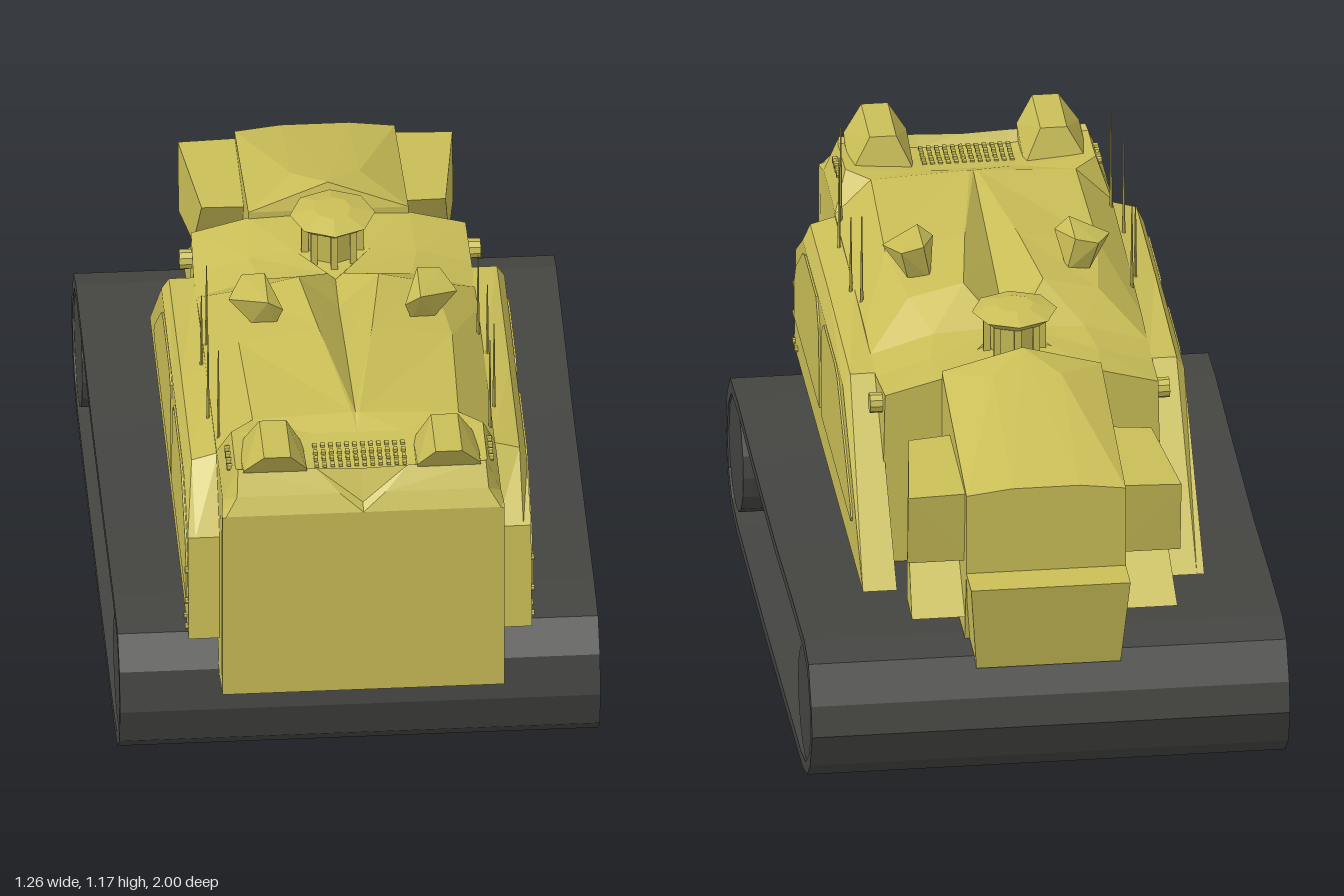
import * as THREE from 'three';
import { ConvexGeometry } from 'three/addons/geometries/ConvexGeometry.js';

const paint = new THREE.MeshStandardMaterial({ color: 0xcabe57 });
paint.name = 'yellowPaint';
const rubber = new THREE.MeshStandardMaterial({ color: 0x444541 });
rubber.name = 'darkRubber';

export function createModel() {
  const model = new THREE.Group();

  const add = (name, geometry, material = paint) => {
    const flat = geometry.index ? geometry.toNonIndexed() : geometry;
    flat.computeVertexNormals();
    const mesh = new THREE.Mesh(flat, material);
    mesh.name = name;
    model.add(mesh);
    return mesh;
  };
  // Side profile of [z, y] points extruded from x0 to x1; a hole winds the other way
  const prism = (points, x0, x1, hole) => {
    const toVec = ([z, y]) => new THREE.Vector2(-z, y);
    const shape = new THREE.Shape(points.map(toVec));
    if (hole) shape.holes.push(new THREE.Path(hole.map(toVec)));
    const lo = Math.min(x0, x1), hi = Math.max(x0, x1);
    return new THREE.ExtrudeGeometry(shape, { depth: hi - lo, bevelEnabled: false })
      .rotateY(Math.PI / 2).translate(lo, 0, 0);
  };
  // Faceted solid around [x, y, z] corners
  const solid = (points, side = 1) =>
    new ConvexGeometry(points.map(([x, y, z]) => new THREE.Vector3(x * side, y, z)));
  const symmetric = (points) => solid(points.flatMap(([x, y, z]) => [[x, y, z], [-x, y, z]]));
  const both = (build) => [['left', 1], ['right', -1]].forEach(([n, s]) => build(n, s));

  // Full-width track belt and its two rollers
  const belt = [
    [0.64, 0.005], [0.77, 0.025], [0.845, 0.09], [0.875, 0.2], [0.85, 0.31], [0.78, 0.385],
    [0.62, 0.395], [0.3, 0.385], [-0.2, 0.38], [-0.55, 0.395], [-0.83, 0.4], [-0.92, 0.375],
    [-0.98, 0.28], [-1, 0.2], [-0.96, 0.1], [-0.89, 0.04], [-0.79, 0.015], [0, 0],
  ];
  const inner = belt.map(([z, y]) => [-0.06 + (z + 0.06) * 0.968, 0.2 + (y - 0.2) * 0.84]).reverse();
  add('trackBelt', prism(belt, -0.63, 0.63, inner), rubber);
  [['frontRoller', 0.69], ['rearRoller', -0.81]].forEach(([name, z]) => {
    add(name, new THREE.CylinderGeometry(0.155, 0.155, 1.25, 16).rotateZ(Math.PI / 2), rubber)
      .position.set(0, 0.21, z);
  });

  // Lower hull between the runs of the belt
  add('lowerHull', prism([[0.6, 0.36], [0.6, 0.155], [-0.72, 0.15], [-0.72, 0.36]], -0.35, 0.35));

  // Upper hull: z, bottom y, centre y, then x and y of groove edge, roof edge and shoulder
  const sections = [
    [1.0, 0.33, 0.89, 0.06, 0.89, 0.36, 0.89, 0.37, 0.885],
    [0.975, 0.325, 0.905, 0.06, 0.935, 0.33, 0.935, 0.37, 0.89],
    [0.935, 0.32, 0.985, 0.12, 0.99, 0.325, 0.995, 0.365, 0.9],
    [0.915, 0.315, 0.96, 0.12, 0.96, 0.33, 0.985, 0.365, 0.9],
    [0.86, 0.305, 0.96, 0.12, 0.96, 0.33, 0.985, 0.365, 0.9],
    [0.83, 0.38, 0.965, 0.12, 0.965, 0.33, 0.985, 0.365, 0.9],
    [0.75, 0.38, 0.975, 0.12, 0.975, 0.33, 0.99, 0.365, 0.9],
    [0.69, 0.38, 0.995, 0.01, 0.998, 0.27, 0.985, 0.365, 0.89],
    [0.3, 0.38, 0.935, 0.07, 1.0, 0.28, 0.965, 0.365, 0.88],
    [0.04, 0.38, 0.89, 0.105, 0.99, 0.25, 0.955, 0.365, 0.87],
    [-0.08, 0.38, 0.895, 0.02, 0.915, 0.2, 0.905, 0.365, 0.855],
    [-0.2, 0.38, 0.915, 0.1, 0.91, 0.22, 0.895, 0.365, 0.85],
    [-0.36, 0.38, 0.925, 0.1, 0.915, 0.21, 0.91, 0.36, 0.87],
  ];
  const rows = sections.map(([z, yb, cy, gx, gy, rx, ry, sx, sy]) => {
    const half = [[gx, gy], [rx, ry], [sx, sy], [0.37, yb]];
    const left = half.map(([x, y]) => [-x, y]).reverse();
    return [...left, [0, cy], ...half].map(([x, y]) => [x, y, z]);
  });
  const tri = [];
  const n = rows[0].length;
  for (let i = 0; i < rows.length - 1; i++) {
    for (let j = 0; j < n; j++) {
      const k = (j + 1) % n;
      const a = rows[i][j], b = rows[i][k], c = rows[i + 1][j], d = rows[i + 1][k];
      // Diagonals mirror across the centre line
      if (j < n / 2 - 1) tri.push(a, b, c, b, d, c);
      else tri.push(a, b, d, a, d, c);
    }
  }
  const first = rows[0], last = rows[rows.length - 1];
  for (let j = 0; j < n; j++) {
    const k = (j + 1) % n;
    tri.push([0, 0.6, first[0][2]], first[k], first[j]);
    tri.push([0, 0.6, last[0][2]], last[j], last[k]);
  }
  const hull = new THREE.BufferGeometry();
  hull.setAttribute('position', new THREE.Float32BufferAttribute(tri.flat(), 3));
  add('upperHull', hull);

  // Rear hood and flared tail
  add('rearHood', symmetric([
    [0, 1.0, -0.38], [0.09, 0.965, -0.48], [0.09, 0.84, -0.89], [0.21, 0.93, -0.355],
    [0.21, 0.825, -0.89], [0.21, 0.37, -0.355], [0.21, 0.6, -0.89], [0.21, 0.38, -0.85],
  ]));
  add('tail', symmetric([
    [0.21, 0.6, -0.7], [0.21, 0.6, -0.995], [0.19, 0.35, -0.945], [0.2, 0.36, -0.65],
  ]));

  // Cupola
  add('cupolaNeck', new THREE.CylinderGeometry(0.07, 0.06, 0.12, 8)).position.set(0, 0.95, -0.2);
  add('cupolaRim', new THREE.CylinderGeometry(0.112, 0.08, 0.025, 8)).position.set(0, 1.01, -0.2);
  add('cupolaCap', new THREE.CylinderGeometry(0.05, 0.112, 0.018, 8)).position.set(0, 1.031, -0.2);
  for (let i = 0; i < 8; i++) {
    const a = (i * Math.PI) / 4;
    add('cupolaPost', new THREE.BoxGeometry(0.018, 0.1, 0.018))
      .position.set(Math.sin(a) * 0.073, 0.95, -0.2 + Math.cos(a) * 0.073);
  }

  // Deck vent beads
  for (let i = 0; i < 12; i++) for (let j = 0; j < 4; j++) {
    add('ventBead', new THREE.BoxGeometry(0.011, 0.008, 0.014))
      .position.set((i - 5.5) * 0.021, 0.97, 0.8 + j * 0.03);
  }

  both((name, s) => {
    // Side skirt in two layers, each with its upper edge sloping outwards
    const profile = [[0.875, 0.425], [0.84, 0.72], [0.69, 0.885], [0.3, 0.88], [-0.18, 0.85], [-0.62, 0.43]];
    [[0.36, 0.43, 0.885, 0.865], [0.43, 0.45, 0.865, 0.82]].forEach(([x0, x1, top0, top1]) => {
      const skirt = prism(profile, s * x0, s * x1);
      const p = skirt.attributes.position;
      for (let i = 0; i < p.count; i++) {
        const top = Math.abs(p.getX(i)) > (x0 + x1) / 2 ? top1 : top0;
        p.setY(i, Math.min(p.getY(i), top));
      }
      add(name + 'Skirt', skirt);
    });

    // Two raised skirt panels
    const panels = [
      [[0.84, 0.525], [0.83, 0.64], [0.8, 0.69], [0.66, 0.795], [0.61, 0.815], [0.36, 0.815],
        [0.31, 0.75], [0.29, 0.62], [0.29, 0.525]],
      [[0.25, 0.525], [0.25, 0.72], [0.23, 0.79], [0.19, 0.815], [-0.04, 0.815], [-0.1, 0.8],
        [-0.38, 0.57], [-0.4, 0.54], [-0.39, 0.525]],
    ];
    panels.forEach((pts) => add(name + 'SkirtPanel', prism(pts, s * 0.446, s * 0.455)));

    // Bolts, side lamp and deck studs
    [[0.45, 0.85], [0.45, 0.8], [0.53, 0.85], [0.62, 0.84]].forEach(([y, z]) =>
      add(name + 'Bolt', new THREE.CylinderGeometry(0.009, 0.009, 0.02, 8).rotateZ(Math.PI / 2))
        .position.set(s * 0.448, y, z));
    add(name + 'SideLamp', new THREE.CylinderGeometry(0.027, 0.027, 0.05, 10).rotateZ(Math.PI / 2))
      .position.set(s * 0.37, 0.825, -0.305);
    for (let i = 0; i < 4; i++) {
      add(name + 'DeckStud', new THREE.CylinderGeometry(0.01, 0.01, 0.03, 8).rotateZ(Math.PI / 2))
        .position.set(s * 0.335, 0.96, 0.785 + i * 0.028);
    }

    // Front deck housing
    add(name + 'DeckHousing', solid([
      [0.145, 0.96, 0.92], [0.315, 0.96, 0.92], [0.145, 0.96, 0.77], [0.315, 0.96, 0.77],
      [0.145, 1.0, 0.95], [0.31, 1.0, 0.95],
      [0.19, 1.062, 0.985], [0.26, 1.062, 0.985], [0.19, 1.055, 0.8], [0.26, 1.055, 0.8],
    ], s));

    // Roof periscope
    add(name + 'Periscope', solid([
      [0.18, 0.96, 0.22], [0.24, 0.965, 0.21], [0.18, 0.96, 0.14], [0.24, 0.965, 0.14],
      [0.16, 1.03, 0.25], [0.2, 1.06, 0.26], [0.3, 1.035, 0.2],
      [0.2, 1.06, 0.12], [0.26, 1.05, 0.11],
    ], s));

    // Rear pod with a spike running down and back
    add(name + 'RearPod', solid([
      [0.2, 0.83, -0.53], [0.32, 0.825, -0.54], [0.2, 0.65, -0.62], [0.335, 0.65, -0.64],
      [0.2, 0.82, -0.865], [0.36, 0.815, -0.865], [0.2, 0.615, -0.84], [0.36, 0.615, -0.84],
    ], s));
    add(name + 'RearSpike', solid([
      [0.2, 0.645, -0.64], [0.335, 0.645, -0.64], [0.2, 0.46, -0.86], [0.35, 0.46, -0.86],
      [0.2, 0.41, -0.63], [0.335, 0.41, -0.63],
    ], s));

    // Whip antennas: x, z, top
    [[0.356, 0.635, 1.17], [0.375, 0.515, 1.14], [0.375, 0.26, 1.09], [0.356, 0.18, 1.13]]
      .forEach(([x, z, top]) => add(name + 'Antenna',
        new THREE.CylinderGeometry(0.0015, 0.005, top - 0.86, 6))
        .position.set(s * x, (top + 0.86) / 2, z));
  });

  return model;
}
